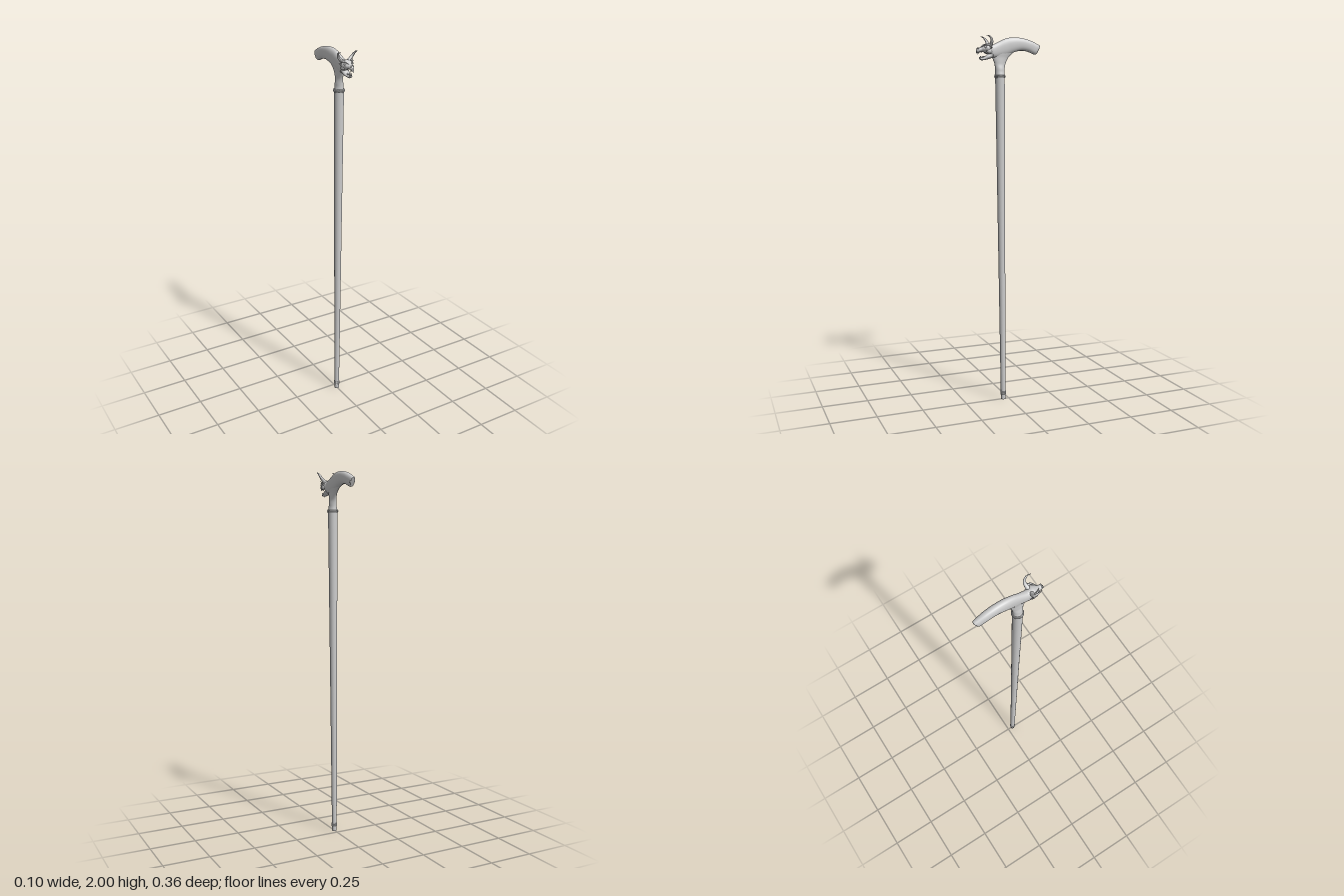
import * as THREE from 'three';

const material = new THREE.MeshStandardMaterial({ color: 0xcccccc });

function add(parent, name, geometry) {
  const mesh = new THREE.Mesh(geometry, material);
  mesh.name = name;
  parent.add(mesh);
  return mesh;
}

// Smooth closed body through sections [z1, y1, z2, y2, halfWidth]:
// two opposite outline points in the side plane, plus the half width in x.
function loft(sections, power = 0.85, steps = 6, sides = 28) {
  const spline = (a, b) => new THREE.CatmullRomCurve3(
    sections.map(s => new THREE.Vector3(a < 0 ? s[4] : 0, a < 0 ? 0 : s[b], a < 0 ? 0 : s[a])), false, 'centripetal');
  const n = (sections.length - 1) * steps;
  const first = spline(0, 1), second = spline(2, 3);
  const positions = [], index = [];
  const soft = v => Math.sign(v) * Math.abs(v) ** power;
  for (let i = 0; i <= n; i++) {
    const p = first.getPoint(i / n), q = second.getPoint(i / n);
    const k = Math.min(Math.floor(i / steps), sections.length - 2);
    const f = i / steps - k;
    const e = f * f * (3 - 2 * f);
    const w = sections[k][4] * (1 - e) + sections[k + 1][4] * e;
    const c = p.clone().add(q).multiplyScalar(0.5);
    const u = p.clone().sub(c);
    for (let j = 0; j < sides; j++) {
      const a = j / sides * Math.PI * 2;
      const v = soft(Math.cos(a));
      positions.push(soft(Math.sin(a)) * w, c.y + u.y * v, c.z + u.z * v);
    }
  }
  for (let i = 0; i < n; i++) for (let j = 0; j < sides; j++) {
    const a = i * sides + j, b = i * sides + (j + 1) % sides;
    index.push(a, b, a + sides, b, b + sides, a + sides);
  }
  // End caps
  for (const ring of [0, n]) {
    const c = new THREE.Vector3();
    for (let j = 0; j < sides; j++) c.add(new THREE.Vector3().fromArray(positions, (ring * sides + j) * 3));
    c.divideScalar(sides);
    const centre = positions.length / 3;
    positions.push(c.x, c.y, c.z);
    for (let j = 0; j < sides; j++) {
      const a = ring * sides + j, b = ring * sides + (j + 1) % sides;
      if (ring) index.push(a, b, centre); else index.push(b, a, centre);
    }
  }
  const geometry = new THREE.BufferGeometry();
  geometry.setAttribute('position', new THREE.Float32BufferAttribute(positions, 3));
  geometry.setIndex(index);
  geometry.computeVertexNormals();
  return geometry;
}

// Tube narrowing to a point
function taperedTube(points, radius, segments = 28, sides = 12) {
  const curve = new THREE.CatmullRomCurve3(points.map(p => new THREE.Vector3(...p)));
  const geometry = new THREE.TubeGeometry(curve, segments, radius, sides);
  const pos = geometry.attributes.position, v = new THREE.Vector3();
  for (let i = 0; i < pos.count; i++) {
    const t = Math.floor(i / (sides + 1)) / segments;
    const c = curve.getPointAt(t);
    v.fromBufferAttribute(pos, i).sub(c).multiplyScalar(1 - 0.93 * t ** 1.3).add(c);
    pos.setXYZ(i, v.x, v.y, v.z);
  }
  geometry.computeVertexNormals();
  return geometry;
}

function spike(parent, name, position, radius, height, rotX, rotZ = 0) {
  const mesh = add(parent, name, new THREE.ConeGeometry(radius, height, 10));
  mesh.position.set(...position);
  mesh.rotation.set(rotX, 0, rotZ);
}

function createStick() {
  const stick = new THREE.Group();
  stick.name = 'stick';
  stick.position.z = 0.032;
  stick.rotation.x = Math.atan2(0.017, 1.79);
  const shaft = add(stick, 'shaft', new THREE.CylinderGeometry(0.0255, 0.0135, 1.75, 32));
  shaft.position.y = 0.915;
  const tip = add(stick, 'ferrule', new THREE.CylinderGeometry(0.0135, 0.0125, 0.045, 24));
  tip.position.y = 0.0225;
  // Ferrule bands and the collar under the handle
  const bands = [[0.029, 0.013, 0.003], [0.036, 0.013, 0.003], [0.043, 0.013, 0.003],
    [1.784, 0.0255, 0.003], [1.79, 0.0265, 0.004], [1.796, 0.0255, 0.003]];
  for (const [y, r, t] of bands) {
    const band = add(stick, y < 1 ? 'ferruleBand' : 'collarRing', new THREE.TorusGeometry(r, t, 10, 36));
    band.rotation.x = Math.PI / 2;
    band.position.y = y;
  }
  return stick;
}

function createHandle() {
  const handle = new THREE.Group();
  handle.name = 'handle';
  add(handle, 'neck', loft([
    [0.075, 1.785, 0.023, 1.785, 0.025], [0.075, 1.82, 0.024, 1.82, 0.02],
    [0.080, 1.855, 0.018, 1.855, 0.0145], [0.092, 1.885, 0.003, 1.885, 0.014],
    [0.102, 1.91, -0.022, 1.91, 0.016], [0.09, 1.94, -0.06, 1.94, 0.018],
  ], 1));
  add(handle, 'grip', loft([
    [0.115, 1.945, 0.105, 1.90, 0.02], [0.09, 1.953, 0.09, 1.885, 0.021],
    [0.055, 1.969, 0.05, 1.89, 0.019], [0.02, 1.985, 0.01, 1.90, 0.02],
    [-0.02, 1.993, -0.025, 1.914, 0.0215], [-0.07, 1.992, -0.07, 1.925, 0.021],
    [-0.12, 1.981, -0.11, 1.921, 0.02], [-0.16, 1.965, -0.142, 1.909, 0.0175],
    [-0.177, 1.957, -0.154, 1.907, 0.0155], [-0.181, 1.952, -0.161, 1.911, 0.011],
  ]));
  return handle;
}

function createHead() {
  const head = new THREE.Group();
  head.name = 'head';
  add(head, 'skullAndSnout', loft([
    [0.085, 1.895, 0.085, 1.95, 0.018], [0.105, 1.896, 0.105, 1.952, 0.025],
    [0.125, 1.907, 0.125, 1.955, 0.031], [0.143, 1.913, 0.143, 1.946, 0.022],
    [0.158, 1.913, 0.158, 1.937, 0.0135], [0.171, 1.909, 0.172, 1.934, 0.011],
    [0.180, 1.905, 0.181, 1.925, 0.006],
  ], 1));
  add(head, 'lowerJaw', loft([
    [0.09, 1.885, 0.095, 1.918, 0.018], [0.115, 1.877, 0.12, 1.902, 0.019],
    [0.14, 1.871, 0.143, 1.886, 0.0135], [0.157, 1.872, 0.159, 1.885, 0.009],
    [0.166, 1.879, 0.166, 1.887, 0.004],
  ], 1));
  const tongue = add(head, 'tongue', new THREE.SphereGeometry(1, 16, 10));
  tongue.scale.set(0.006, 0.004, 0.02);
  tongue.position.set(0, 1.889, 0.135);
  tongue.rotation.x = 0.15;
  spike(head, 'chinSpike', [0, 1.872, 0.15], 0.004, 0.014, 2.8);

  for (const s of [-1, 1]) {
    add(head, 'horn', taperedTube([
      [s * 0.014, 1.944, 0.113], [s * 0.026, 1.953, 0.109], [s * 0.038, 1.967, 0.108],
      [s * 0.046, 1.982, 0.115], [s * 0.049, 1.993, 0.128], [s * 0.046, 1.997, 0.145],
    ], 0.0105));
    add(head, 'brow', taperedTube([
      [s * 0.03, 1.951, 0.116], [s * 0.025, 1.95, 0.133], [s * 0.015, 1.944, 0.146], [s * 0.006, 1.937, 0.157],
    ], 0.006, 14, 10));
    const eye = add(head, 'eye', new THREE.SphereGeometry(0.0058, 16, 12));
    eye.position.set(s * 0.021, 1.938, 0.138);
    const cheek = add(head, 'cheek', new THREE.SphereGeometry(1, 18, 12));
    cheek.scale.set(0.009, 0.013, 0.015);
    cheek.position.set(s * 0.021, 1.918, 0.117);
    const nostril = add(head, 'nostril', new THREE.SphereGeometry(0.0045, 14, 10));
    nostril.position.set(s * 0.006, 1.931, 0.172);
    spike(head, 'ear', [s * 0.029, 1.934, 0.108], 0.006, 0.024, -0.7, -s * 0.9);
    // Teeth: a long fang in front, smaller ones behind
    spike(head, 'upperFang', [s * 0.0065, 1.905, 0.171], 0.003, 0.013, Math.PI);
    spike(head, 'upperTooth', [s * 0.0105, 1.91, 0.157], 0.0022, 0.009, Math.PI);
    spike(head, 'lowerFang', [s * 0.006, 1.89, 0.158], 0.0025, 0.011, 0);
    spike(head, 'lowerTooth', [s * 0.01, 1.891, 0.145], 0.002, 0.008, 0);
  }
  return head;
}

export function createModel() {
  const model = new THREE.Group();
  model.name = 'walkingCane';
  model.add(createStick(), createHandle(), createHead());
  return model;
}
